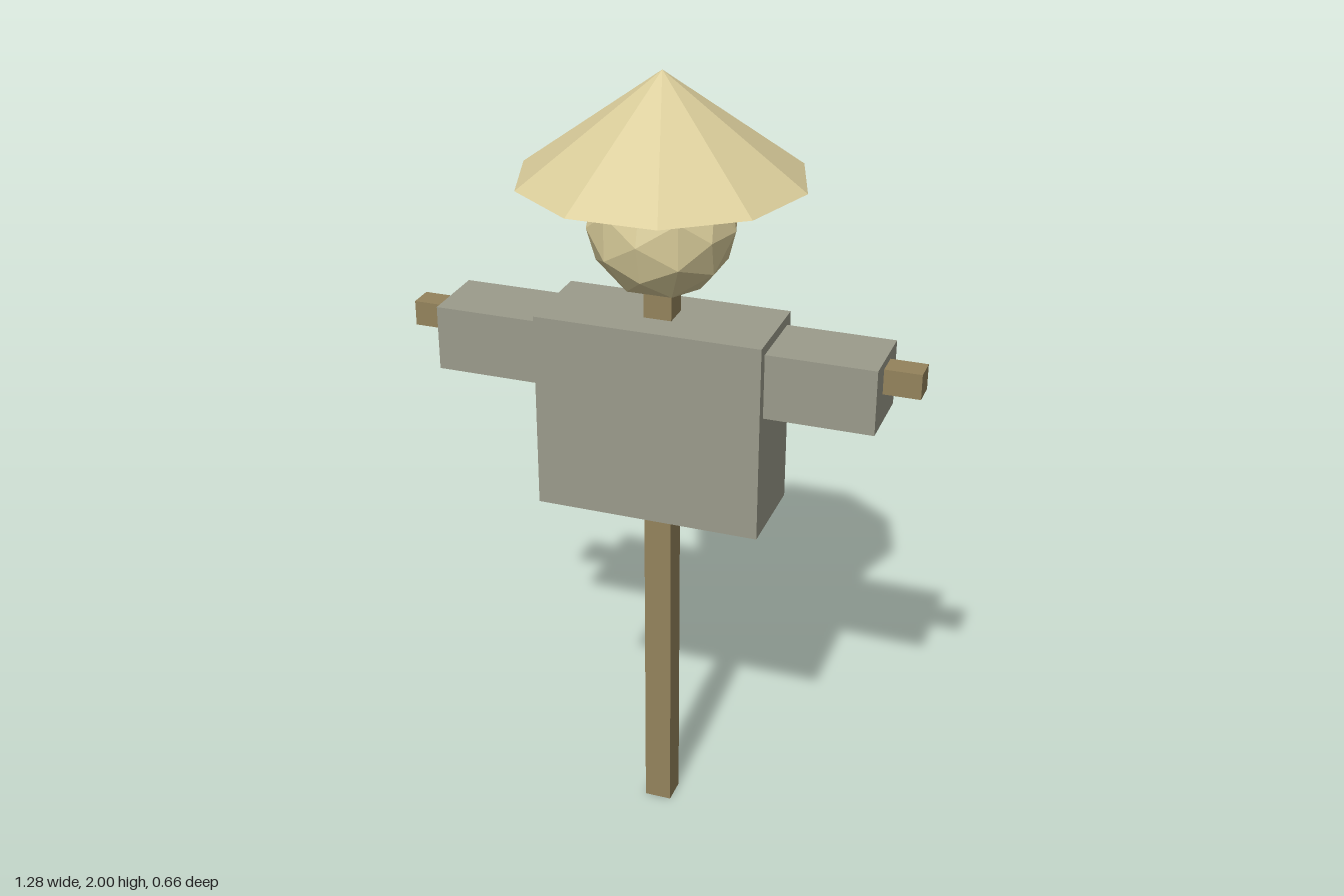
import * as THREE from 'three';

const material = (color) => new THREE.MeshStandardMaterial({ color, flatShading: true });

export function createModel() {
  const group = new THREE.Group();
  const wood = material(0x94835c);
  const cloth = material(0x9b9b8b);
  const straw = material(0xd9cc9a);

  const add = (name, geometry, mat, x, y, z = 0) => {
    const mesh = new THREE.Mesh(geometry, mat);
    mesh.name = name;
    mesh.position.set(x, y, z);
    group.add(mesh);
    return mesh;
  };
  const box = (name, mat, w, h, d, x, y) => add(name, new THREE.BoxGeometry(w, h, d), mat, x, y);

  // Wooden frame
  box('post', wood, 0.07, 1.55, 0.07, 0, 0.775);
  box('crossbar', wood, 1.28, 0.063, 0.063, 0, 1.333);

  // Shirt
  box('shirtBody', cloth, 0.566, 0.5, 0.238, 0, 1.16);
  for (const side of [1, -1]) {
    box(side > 0 ? 'leftSleeve' : 'rightSleeve', cloth, 0.27, 0.163, 0.184, side * 0.415, 1.304);
  }

  // Faceted head
  add('head', new THREE.IcosahedronGeometry(0.18, 1), straw, 0, 1.64);

  // Ten-sided conical hat, corners pointing left and right
  const hat = add('hat', new THREE.ConeGeometry(0.346, 0.25, 10), straw, 0, 1.875);
  hat.rotation.y = Math.PI / 2;

  return group;
}
